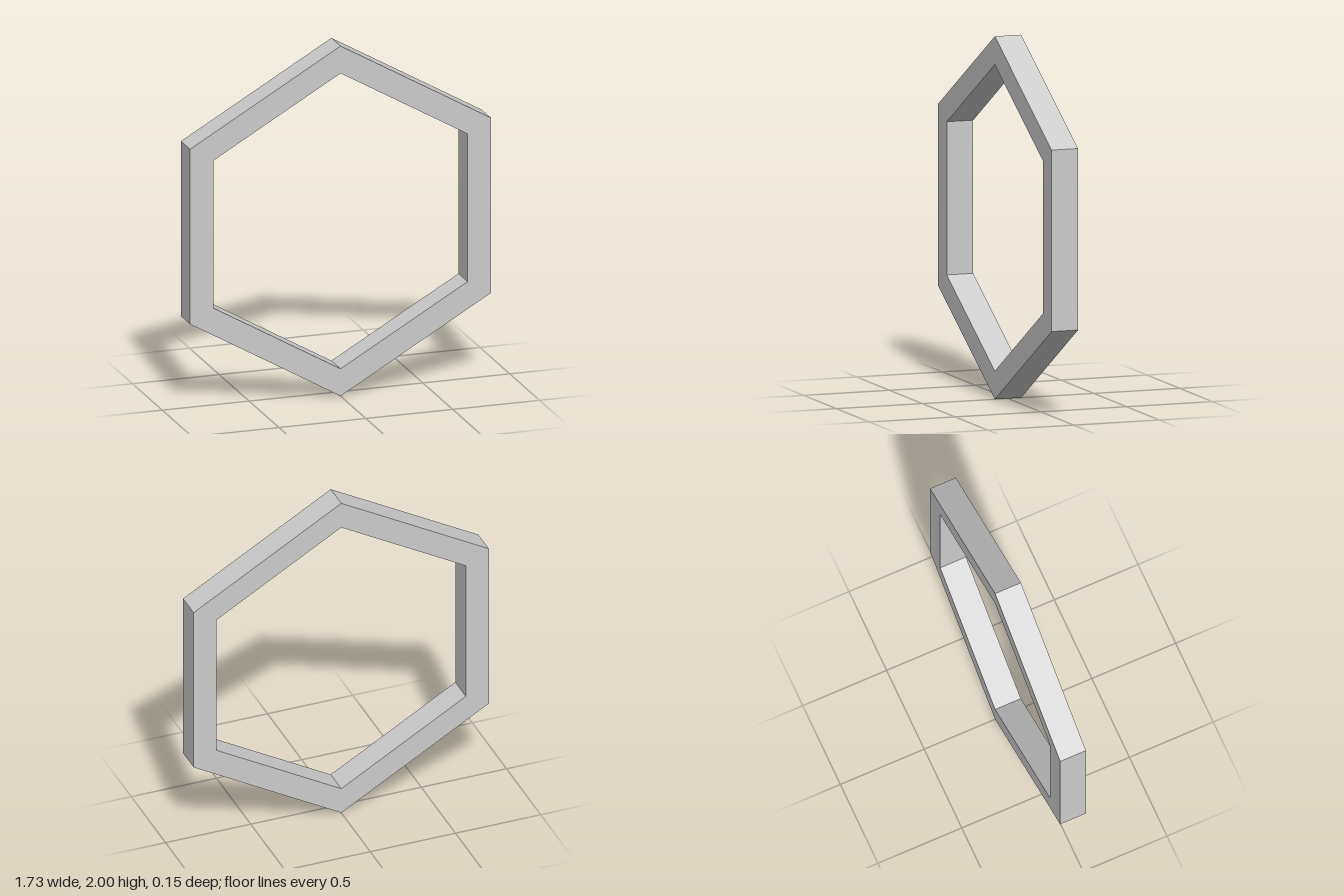
import * as THREE from 'three';

const OUTER_RADIUS = 1;
const INNER_RADIUS = 0.844;
const DEPTH = 0.154;

// Corners of a regular hexagon with one point straight up
function hexagon(radius) {
  return Array.from({ length: 6 }, (_, i) => {
    const angle = Math.PI / 2 + (i * Math.PI) / 3;
    return new THREE.Vector2(radius * Math.cos(angle), radius * Math.sin(angle));
  });
}

export function createModel() {
  const group = new THREE.Group();
  group.name = 'hexagonalFrame';

  // Flat hexagonal ring: outer outline with a hexagonal opening
  const outline = new THREE.Shape(hexagon(OUTER_RADIUS));
  outline.holes.push(new THREE.Path(hexagon(INNER_RADIUS)));

  const geometry = new THREE.ExtrudeGeometry(outline, { depth: DEPTH, bevelEnabled: false });
  geometry.translate(0, OUTER_RADIUS, -DEPTH / 2);

  const frame = new THREE.Mesh(
    geometry,
    new THREE.MeshStandardMaterial({ color: 0xcccccc, flatShading: true })
  );
  frame.name = 'frame';
  group.add(frame);
  return group;
}
